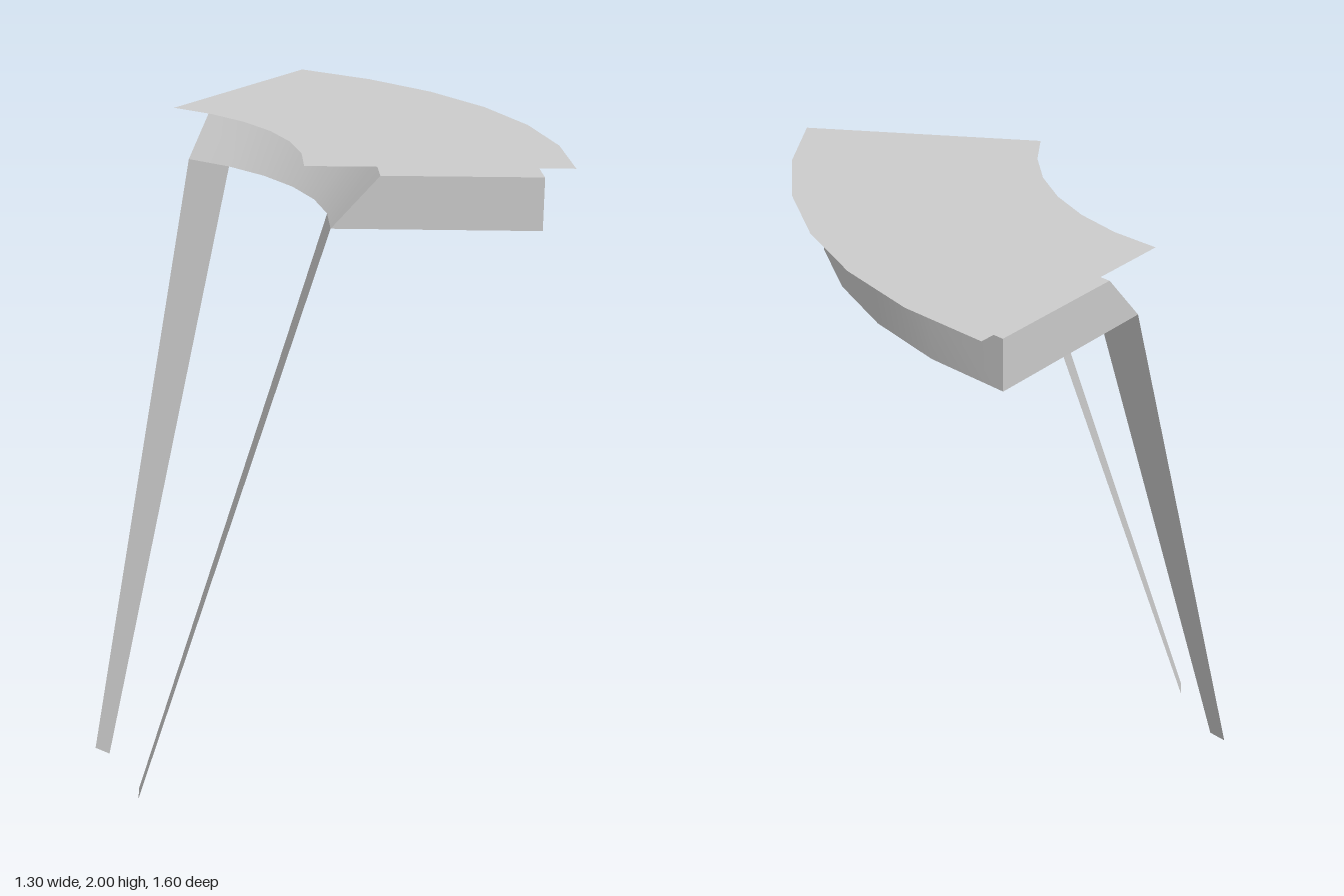
import * as THREE from 'three';
import { toCreasedNormals } from 'three/addons/utils/BufferGeometryUtils.js';

const RAD = Math.PI / 180;
const CENTRE_X = -0.955; // common centre of all the arcs

export function createModel() {
  const model = new THREE.Group();
  const material = new THREE.MeshStandardMaterial({ color: 0xcccccc, side: THREE.DoubleSide });

  function add(name, geometry, parent = model) {
    const mesh = new THREE.Mesh(geometry, material);
    mesh.name = name;
    parent.add(mesh);
  }

  // Sweeps a [radius, height] profile between two angles measured from +x
  function sweep(profile, from, to, segments) {
    const points = profile.map(([r, y]) => new THREE.Vector2(r, y));
    const geometry = new THREE.LatheGeometry(points, segments, (90 + from) * RAD, (to - from) * RAD);
    return toCreasedNormals(geometry, 0.5);
  }

  // Thin curved top sheet, floating just above the body
  add('topSheet', sweep([[1.6, 2], [0.862, 2]], -30, 30, 6));

  // Curved body with a sloping inner face
  const body = new THREE.Group();
  body.name = 'body';
  model.add(body);
  const section = [[0.935, 1.825], [1.517, 1.825], [1.517, 1.975], [1.07, 1.975]];
  add('bodyShell', sweep([...section, section[0]], -30, 30, 6), body);

  // Flat ends of the body and the two thin tapering legs
  const endShape = new THREE.Shape(section.map(([r, y]) => new THREE.Vector2(r, y)));
  for (const [side, sign] of [['left', 1], ['right', -1]]) {
    add(side + 'BodyEnd', new THREE.ShapeGeometry(endShape).rotateY(sign * 30 * RAD), body);
    const start = sign > 0 ? 20 : -30;
    add(side + 'Leg', sweep([[0.351, 0], [0.935, 1.825]], start, start + 10, 1));
  }

  for (const part of model.children) part.position.x = CENTRE_X;
  return model;
}
